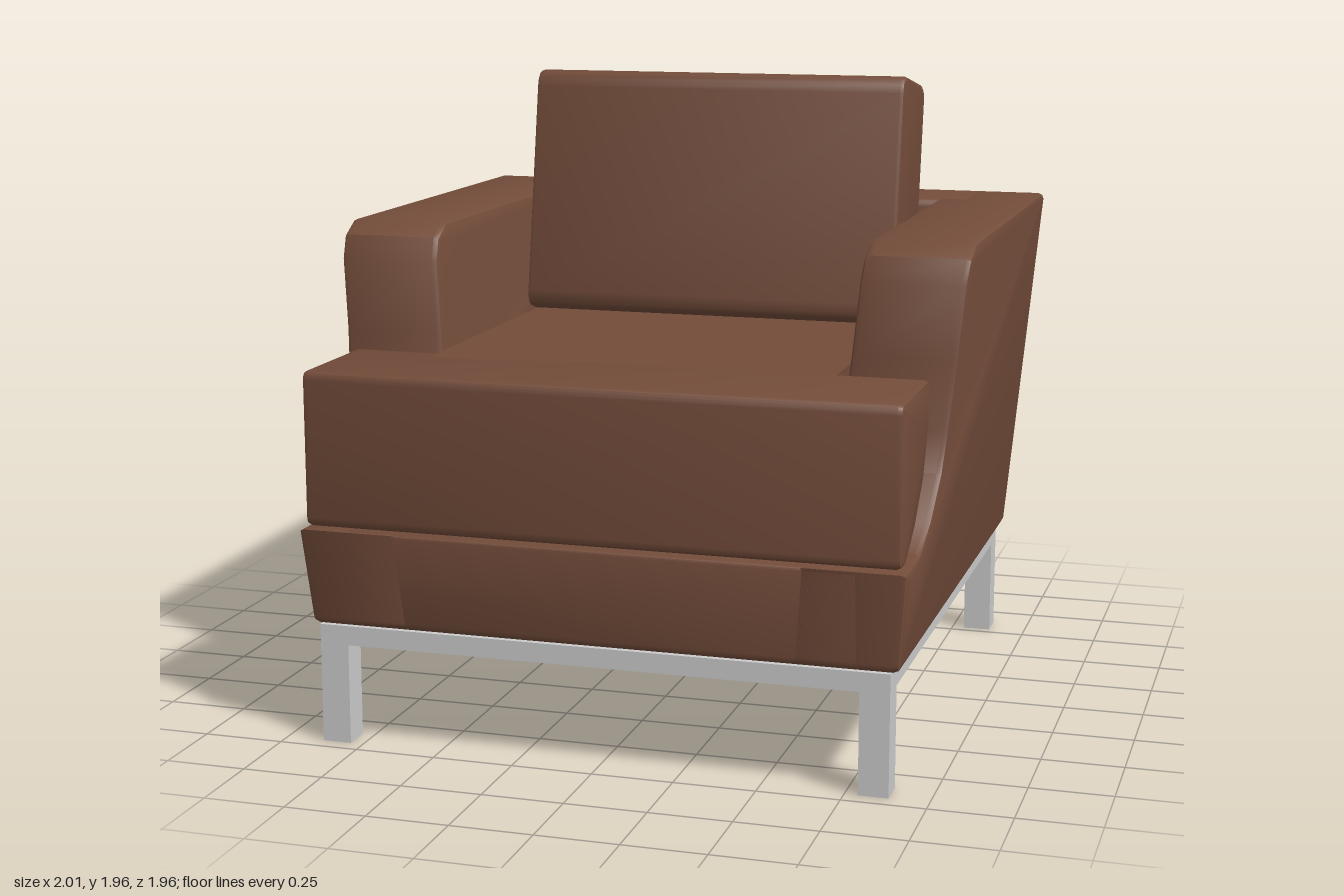
import * as THREE from 'three';
import { toCreasedNormals } from 'three/addons/utils/BufferGeometryUtils.js';

const leather = new THREE.MeshStandardMaterial({ color: 0x734c3a });
const metal = new THREE.MeshStandardMaterial({ color: 0xcccccc });

// Closed side outline from [z, y, cornerRadius] points
function outline(points) {
  const shape = new THREE.Shape();
  const n = points.length;
  const toward = (a, b, r) => {
    const d = Math.hypot(b[0] - a[0], b[1] - a[1]);
    const t = Math.min(r / d, 0.45);
    return [a[0] + (b[0] - a[0]) * t, a[1] + (b[1] - a[1]) * t];
  };
  points.forEach((p, i) => {
    const r = p[2] || 0;
    const a = toward(p, points[(i + n - 1) % n], r);
    const b = toward(p, points[(i + 1) % n], r);
    if (i === 0) shape.moveTo(...a);
    else shape.lineTo(...a);
    if (r) shape.quadraticCurveTo(p[0], p[1], b[0], b[1]);
  });
  shape.closePath();
  return shape;
}

// Side outline extruded across the width from x0 to x1, with softened edges
function slab(points, x0, x1, bevel = 0.02) {
  const geo = new THREE.ExtrudeGeometry(outline(points), {
    depth: x1 - x0 - 2 * bevel,
    bevelThickness: bevel, bevelSize: bevel, bevelOffset: -bevel,
    bevelSegments: 2, curveSegments: 4,
  });
  return geo.rotateY(-Math.PI / 2).translate(x1 - bevel, 0, 0);
}

// Lean a side piece outward as it rises
function flare(geo, side) {
  const pos = geo.attributes.position;
  for (let i = 0; i < pos.count; i++) {
    pos.setX(i, pos.getX(i) + side * (pos.getY(i) - 0.37) * 0.086);
  }
  return geo;
}

export function createModel() {
  const model = new THREE.Group();
  const add = (name, geo, material, parent = model) => {
    const mesh = new THREE.Mesh(toCreasedNormals(geo, 0.6), material);
    mesh.name = name;
    parent.add(mesh);
    return mesh;
  };

  // Arms: swooping front edge, flared outward
  const armSide = [
    [-0.88, 0.37, 0.025], [0.95, 0.37, 0.025], [0.98, 0.67], [0.9, 0.67],
    [0.78, 0.68], [0.66, 0.75], [0.56, 0.87], [0.53, 1.0], [0.495, 1.2],
    [0.475, 1.42], [0.44, 1.49], [0.36, 1.53], [-0.98, 1.53, 0.025],
  ];
  for (const side of [1, -1]) {
    const [x0, x1] = side > 0 ? [0.58, 0.905] : [-0.905, -0.58];
    add(side > 0 ? 'leftArm' : 'rightArm', flare(slab(armSide, x0, x1), side), leather);
  }

  // Sloping back between the arms
  add('back', slab([
    [-0.88, 0.37, 0.025], [-0.57, 0.37], [-0.67, 1.53, 0.025], [-0.98, 1.53, 0.025],
  ], -0.8, 0.8), leather);

  // Lower body under the seat
  add('base', slab([
    [-0.88, 0.37, 0.025], [0.95, 0.37, 0.025], [0.98, 0.67, 0.01], [-0.9, 0.67],
  ], -0.8, 0.8), leather);

  // T-shaped seat cushion: the front wraps around the arms
  const seat = new THREE.Group();
  seat.name = 'seatCushion';
  model.add(seat);
  add('seatFront', slab([
    [0.9, 0.677], [0.972, 0.677, 0.03], [0.972, 1.153, 0.03], [0.59, 1.153],
    [0.59, 1.02], [0.66, 0.87], [0.78, 0.75],
  ], -0.91, 0.91, 0.018), leather, seat);
  add('seatMiddle', new THREE.BoxGeometry(1.26, 0.493, 1.4).translate(0, 0.9065, 0.05), leather, seat);

  // Loose back cushion, leaning backward
  const h = 0.405, d = 0.177;
  const cushion = add('backCushion', slab([
    [-d, -h, 0.06], [d, -h, 0.06], [d, h, 0.06], [-d, h, 0.06],
  ], -0.635, 0.63, 0.015), leather);
  cushion.position.set(0, 1.54, -0.464);
  cushion.rotation.x = -Math.PI / 18;

  // Metal base plate and square legs
  add('basePlate', new THREE.BoxGeometry(1.76, 0.06, 1.82).translate(0, 0.34, 0.04), metal);
  for (const x of [-0.835, 0.835]) {
    for (const z of [-0.825, 0.905]) {
      add('leg', new THREE.BoxGeometry(0.09, 0.36, 0.09).translate(x, 0.18, z), metal);
    }
  }
  return model;
}
